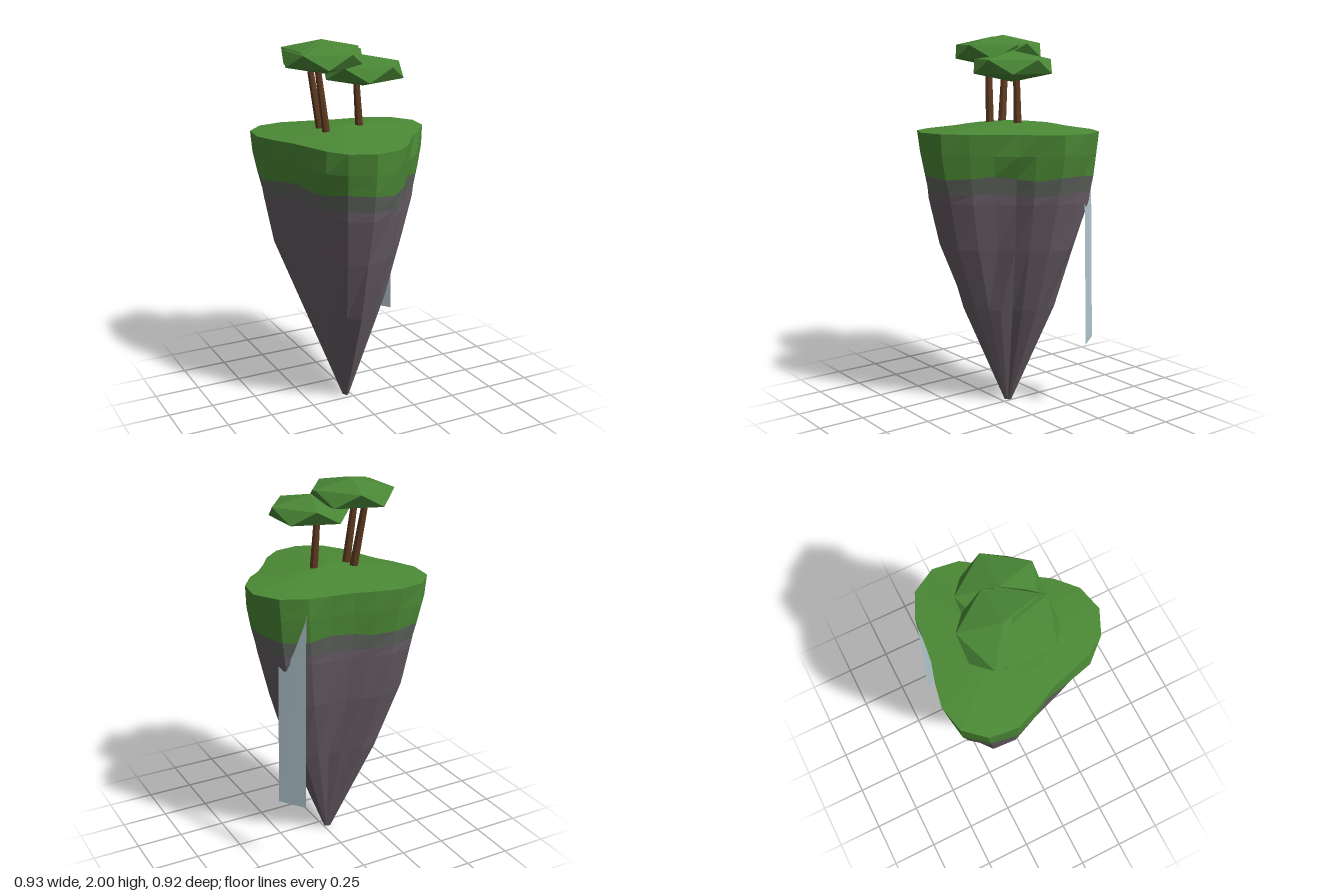
import * as THREE from 'three';

const mat = (name, color, extra = {}) => {
  const m = new THREE.MeshStandardMaterial({ color, flatShading: true, ...extra });
  m.name = name;
  return m;
};

// Island outline at the rim, as x, z pairs, and the axis it tapers to
const RIM = [
  [-0.45, -0.325], [-0.355, -0.43], [-0.215, -0.46], [-0.085, -0.435], [0.02, -0.405], [0.145, -0.39],
  [0.26, -0.38], [0.39, -0.32], [0.465, -0.19], [0.445, -0.05], [0.365, 0.065], [0.29, 0.13],
  [0.215, 0.225], [0.145, 0.33], [0.04, 0.425], [-0.1, 0.457], [-0.23, 0.397], [-0.295, 0.29],
  [-0.335, 0.16], [-0.37, 0.05], [-0.42, -0.05], [-0.468, -0.18],
];
const CX = -0.025, CZ = -0.045;

// One cross-section of the island: the rim scaled towards the axis with a little roughness
function ring(y, scale, rough = 0, wave = 0, bulge = {}) {
  return RIM.map(([x, z], i) => {
    const s = scale * (1 + rough * Math.sin(i * 2.3 + y * 9)) * (bulge[i] ?? 1);
    return [CX + (x - CX) * s, y + wave * Math.sin(i * 1.7), CZ + (z - CZ) * s];
  });
}

function surface(triangles) {
  const g = new THREE.BufferGeometry();
  g.setAttribute('position', new THREE.Float32BufferAttribute(triangles.flat(2), 3));
  g.computeVertexNormals();
  return g;
}

// Skin between consecutive rings, listed from the top down
function loft(rings) {
  const tris = [];
  for (let r = 0; r < rings.length - 1; r++) {
    const up = rings[r], low = rings[r + 1];
    up.forEach((a, i) => {
      const j = (i + 1) % up.length;
      tris.push([a, up[j], low[j]], [a, low[j], low[i]]);
    });
  }
  return tris;
}

// Fan from a centre point to a ring
const fan = (centre, pts, upward) => pts.map((p, i) => {
  const q = pts[(i + 1) % pts.length];
  return upward ? [centre, q, p] : [centre, p, q];
});

export function createModel() {
  const group = new THREE.Group();
  const grass = mat('grass green', 0x4c8a36);
  const soil = mat('grey green soil', 0x5f645e);
  const rock = mat('rock grey', 0x675d65);
  const bark = mat('bark brown', 0x5e3a20);
  const leaf = mat('leaf green', 0x4a8836);
  const water = mat('pale water', 0xb2c6ce, { side: THREE.DoubleSide });

  const add = (name, geometry, material, parent = group) => {
    const m = new THREE.Mesh(geometry, material);
    m.name = name;
    parent.add(m);
    return m;
  };

  // Island body
  const rim = ring(1.51, 1);
  const turf = ring(1.4, 0.98, 0.012, 0, { 11: 1.06, 17: 1.05, 18: 1.04 });
  const turfEdge = ring(1.285, 0.94, 0.012, 0.012);
  const soilEdge = ring(1.2, 0.9, 0.015, 0.008);
  const tip = ring(0, 0.04);
  add('grassTop', surface([...fan([CX, 1.555, CZ], rim, true), ...loft([rim, turf, turfEdge])]), grass);
  add('soilBand', surface(loft([turfEdge, soilEdge])), soil);
  add('rockBase', surface([
    ...loft([soilEdge, ring(1.15, 0.885, 0.02), ring(0.9, 0.755, 0.025), ring(0.56, 0.515, 0.04), tip]),
    ...fan([CX, 0, CZ], tip, false),
  ]), rock);

  // Waterfall: a single sheet leaning slightly outwards at its foot
  const [a, b, c, d] = [[0.27, 1.5, -0.37], [0.36, 1.5, -0.245], [0.38, 0.375, -0.26], [0.288, 0.375, -0.385]];
  add('waterfall', surface([[a, b, c], [a, c, d]]), water);

  // Trees: flattened crowns with a vertex on top, on leaning trunks
  const crown = new THREE.IcosahedronGeometry(1, 0);
  crown.rotateZ(-Math.atan(2 / (1 + Math.sqrt(5))));
  crown.scale(0.236, 0.08, 0.236);
  const up = new THREE.Vector3(0, 1, 0);
  const trees = [
    { crown: [-0.137, 1.92, -0.093], foot: [-0.148, 1.53, -0.095], head: [-0.185, 1.89, -0.145] },
    { crown: [-0.15, 1.912, -0.04], foot: [-0.15, 1.53, -0.015], head: [-0.188, 1.88, -0.035] },
    { crown: [0.06, 1.84, -0.01], foot: [0.057, 1.53, -0.045], head: [0.04, 1.81, -0.05] },
  ];
  for (const t of trees) {
    const tree = new THREE.Group();
    tree.name = 'tree';
    group.add(tree);
    add('treeCrown', crown, leaf, tree).position.set(...t.crown);
    const foot = new THREE.Vector3(...t.foot), dir = new THREE.Vector3(...t.head).sub(foot);
    const trunk = add('treeTrunk', new THREE.CylinderGeometry(0.017, 0.022, dir.length(), 8), bark, tree);
    trunk.position.copy(foot).addScaledVector(dir, 0.5);
    trunk.quaternion.setFromUnitVectors(up, dir.normalize());
  }
  return group;
}
